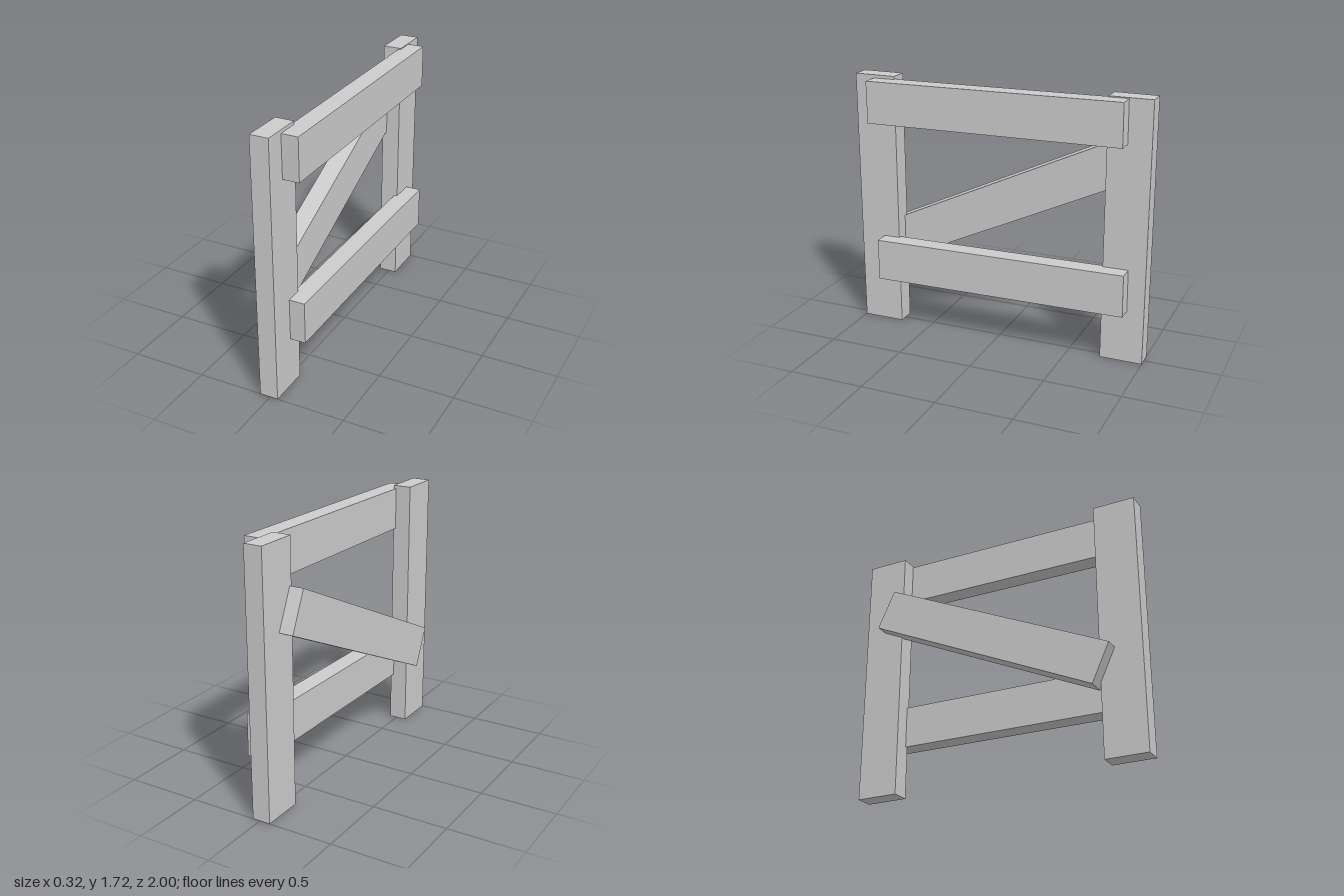
import * as THREE from 'three';

export function createModel() {
  const group = new THREE.Group();
  const material = new THREE.MeshStandardMaterial({ color: 0xcccccc, flatShading: true });

  // A plank spanning xMin..xMax, centred at (y, z) and tilted about x
  function plank(name, [xMin, xMax], height, length, y, z, tilt = 0) {
    const mesh = new THREE.Mesh(new THREE.BoxGeometry(xMax - xMin, height, length), material);
    mesh.name = name;
    mesh.position.set((xMin + xMax) / 2, y, z);
    mesh.rotation.x = tilt;
    group.add(mesh);
  }

  // Upright posts
  plank('frontPost', [-0.07, 0.052], 1.72, 0.28, 0.86, 0.86);
  plank('backPost', [-0.07, 0.052], 1.72, 0.28, 0.86, -0.86);

  // Slightly crooked rails, let a little into the posts
  plank('topRail', [0.036, 0.16], 0.278, 1.715, 1.567, 0.009, 0.009);
  plank('bottomRail', [0.031, 0.155], 0.278, 1.715, 0.482, -0.03, 0.009);

  // Diagonal brace on the opposite face
  plank('diagonalBrace', [-0.164, -0.04], 0.278, 1.716, 0.936, -0.017, 0.436);

  return group;
}
